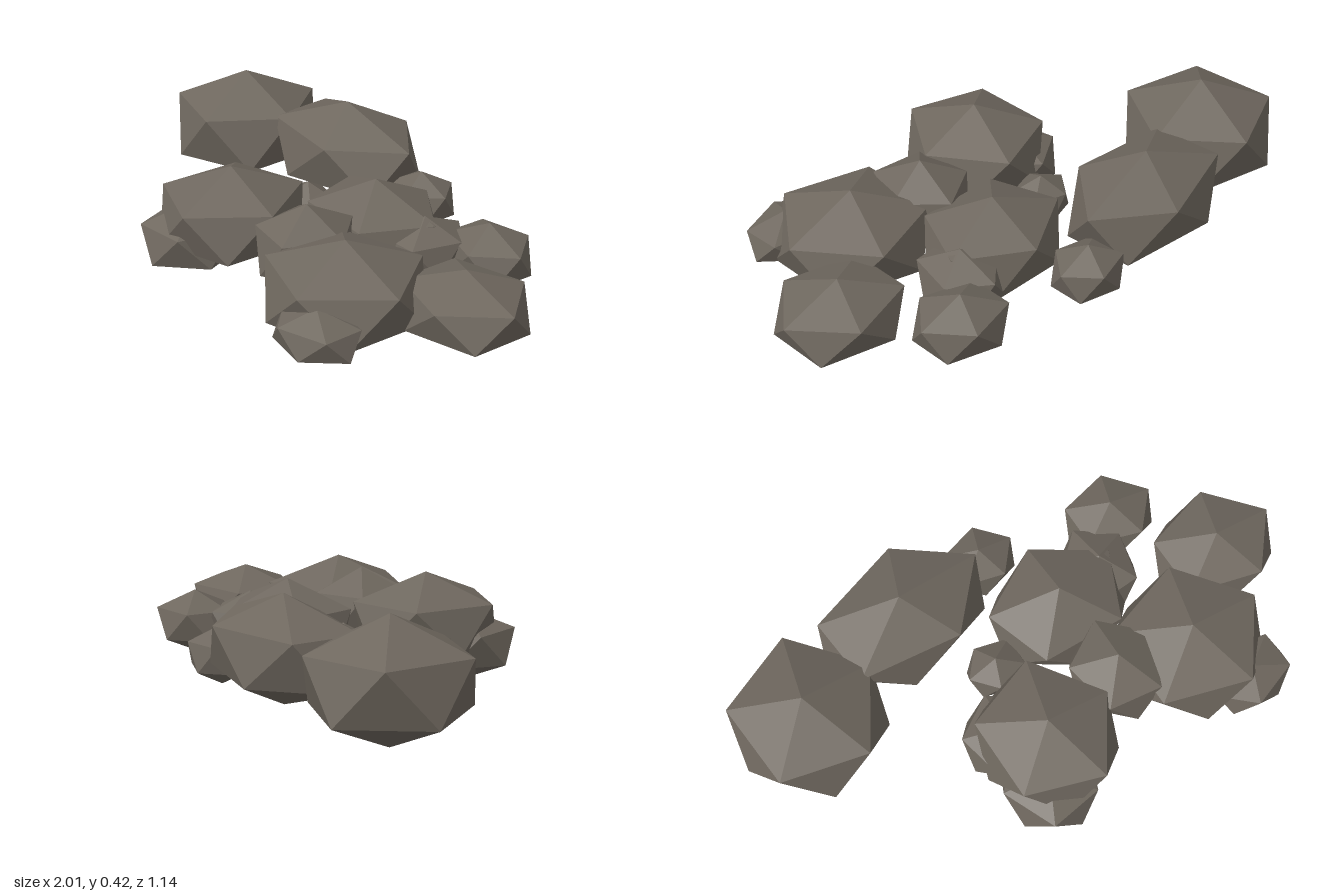
import * as THREE from 'three';

// Each rock: name, centre x, centre z, bottom y, top y, half width x, half depth z, facet turn, stretch turn (degrees)
const ROCKS = [
  ['backLeftBoulder', -0.745, -0.23, 0.01, 0.425, 0.26, 0.265, 4, 0],
  ['backLongBoulder', -0.29, -0.36, 0.05, 0.415, 0.315, 0.21, 0, 5],
  ['backPebble', 0.06, -0.42, 0.045, 0.25, 0.13, 0.11, 0, 0],
  ['middleBoulder', 0.19, -0.11, 0.005, 0.355, 0.25, 0.21, 15, 0],
  ['middleLeftPebble', -0.11, -0.05, 0.06, 0.25, 0.105, 0.09, 36, 0],
  ['middleRightStone', 0.39, -0.16, 0.05, 0.28, 0.13, 0.15, 20, 0],
  ['outerBackStone', 0.54, -0.31, 0.045, 0.27, 0.16, 0.135, 8, -10],
  ['sideBoulder', 0.775, 0, 0.04, 0.295, 0.22, 0.19, 0, 0],
  ['frontRightBoulder', 0.49, 0.25, 0.012, 0.357, 0.265, 0.255, 0, 0],
  ['frontRightStone', 0.61, 0.45, 0.06, 0.235, 0.15, 0.115, 30, 10],
  ['fillerStone', 0.22, 0.2, 0.06, 0.362, 0.16, 0.17, 10, 0],
  ['frontLeftBoulder', -0.11, 0.27, 0.05, 0.395, 0.235, 0.25, 0, 0],
  ['frontLeftStone', -0.18, 0.385, 0.02, 0.27, 0.16, 0.175, 25, 0],
  ['leftStone', -0.22, 0.18, 0.05, 0.27, 0.145, 0.15, 12, 0],
];

const RING = 0.88; // mean ring radius of a unit icosahedron standing on a vertex
const rad = THREE.MathUtils.degToRad;

// Squashed icosahedron standing on one vertex
function rockGeometry(halfX, halfY, halfZ, facetTurn) {
  const geometry = new THREE.IcosahedronGeometry(1, 0);
  geometry.rotateZ(-Math.atan(2 / (1 + Math.sqrt(5))));
  geometry.rotateY(rad(facetTurn));
  geometry.scale(halfX / RING, halfY, halfZ / RING);
  geometry.computeVertexNormals();
  return geometry;
}

export function createModel() {
  const group = new THREE.Group();
  group.name = 'rockCluster';
  const stone = new THREE.MeshStandardMaterial({ color: 0x6e675e, flatShading: true });
  stone.name = 'stone';

  for (const [name, x, z, bottom, top, halfX, halfZ, facetTurn, stretchTurn] of ROCKS) {
    const rock = new THREE.Mesh(rockGeometry(halfX, (top - bottom) / 2, halfZ, facetTurn), stone);
    rock.name = name;
    rock.position.set(x, (top + bottom) / 2 - 0.005, z);
    rock.rotation.y = rad(stretchTurn);
    group.add(rock);
  }
  return group;
}
